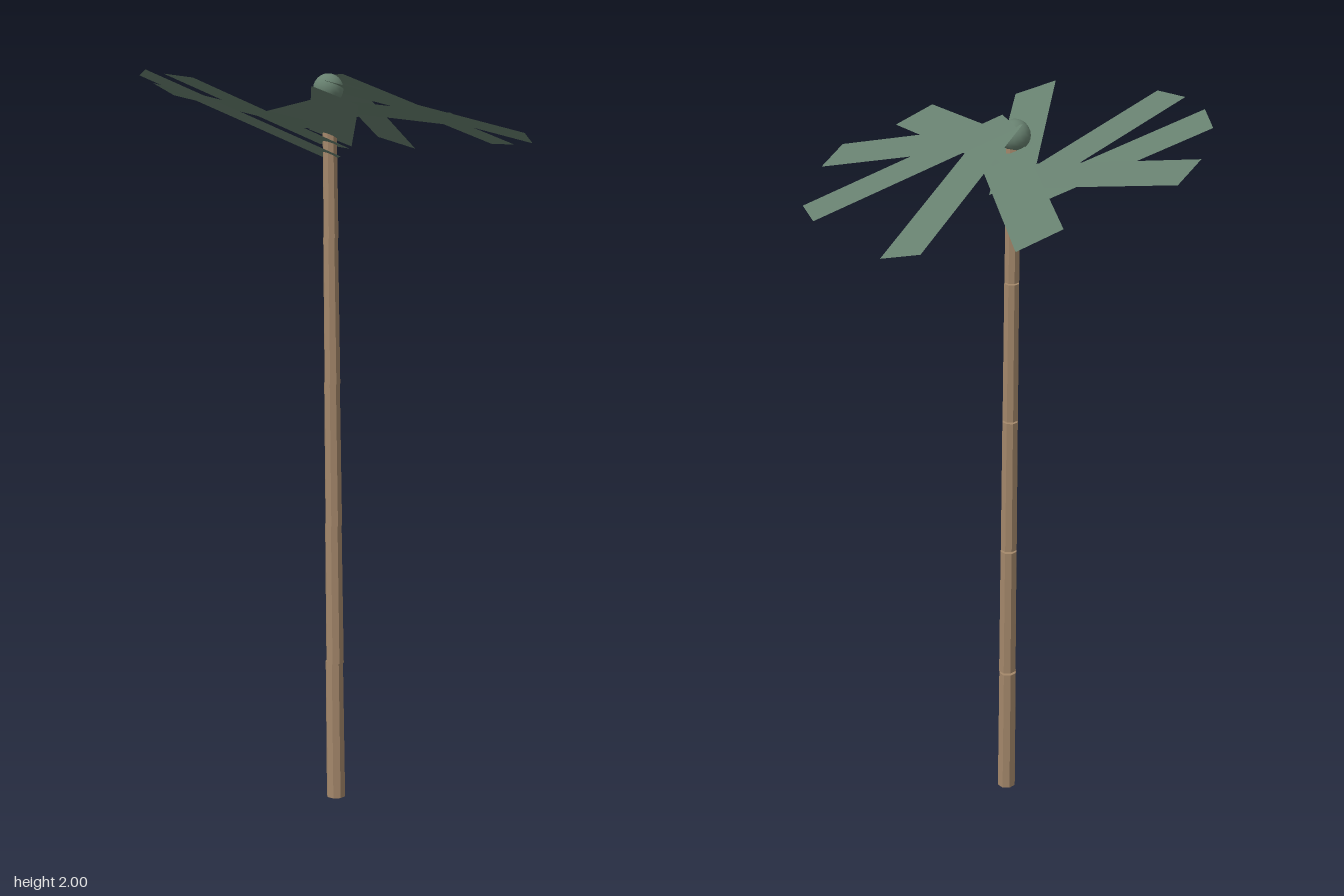
import * as THREE from 'three';

const RAD = Math.PI / 180;

export function createModel() {
  const palm = new THREE.Group();
  palm.name = 'palmTree';

  const bark = new THREE.MeshStandardMaterial({ color: 0xa3876a, flatShading: true });
  bark.name = 'bark';
  const leaf = new THREE.MeshStandardMaterial({ color: 0x67806f, side: THREE.DoubleSide });
  leaf.name = 'leaf';

  // Trunk: five stacked, tapering pieces, each leaning slightly backwards
  const trunk = new THREE.Group();
  trunk.name = 'trunk';
  const step = 0.39;
  const centresX = [-0.003, -0.006, -0.01, -0.014, -0.018];
  centresX.forEach((x, i) => {
    const bottom = 0.0265 - i * 0.0015;
    const piece = new THREE.Mesh(
      new THREE.CylinderGeometry(bottom - 0.0015, bottom, step, 8), bark);
    piece.name = 'trunkSegment' + (i + 1);
    piece.position.set(x, step * (i + 0.5), -0.003);
    piece.rotation.x = -0.025;
    trunk.add(piece);
  });
  palm.add(trunk);

  // Round bud at the top of the trunk
  const bud = new THREE.Mesh(new THREE.SphereGeometry(0.04, 16, 12), leaf);
  bud.name = 'crownBud';
  bud.position.set(-0.024, 1.947, -0.002);
  palm.add(bud);

  // Fronds: flat strips around the crown, all sloping down towards +x
  // [centre x, centre z, turn in degrees, slope in degrees]
  const fronds = [
    [0.249, 0.01, -3, 20],
    [0.194, -0.164, 40, 24.5],
    [0.057, -0.248, 78, 25],
    [-0.154, -0.203, 125.3, 20],
    [-0.237, -0.089, 163, 25],
    [-0.247, 0.042, 193, 20],
    [-0.129, 0.212, 240, 25],
    [0.032, 0.245, 279.4, 20],
    [0.167, 0.183, 313.3, 20],
  ];
  const strip = new THREE.PlaneGeometry(0.55, 0.12).rotateX(-Math.PI / 2);
  const crown = new THREE.Group();
  crown.name = 'crown';
  fronds.forEach(([x, z, turn, slope], i) => {
    const frond = new THREE.Mesh(strip, leaf);
    frond.name = 'frond' + (i + 1);
    frond.position.set(x, slope > 22 ? 1.878 : 1.89, z);
    frond.rotation.set(0, turn * RAD, -slope * RAD, 'ZYX');
    crown.add(frond);
  });
  palm.add(crown);

  return palm;
}
